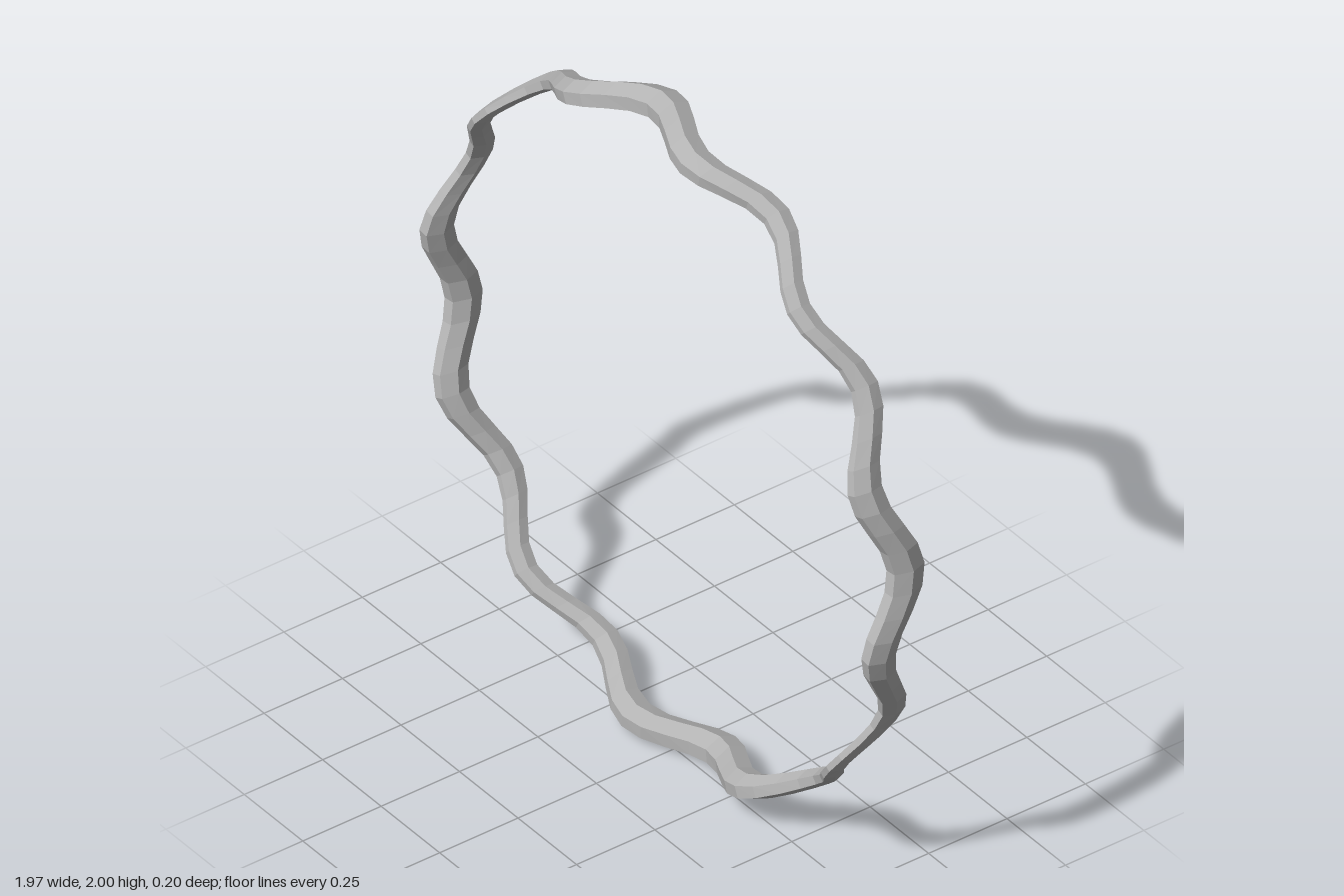
import * as THREE from 'three';

const SEGMENTS = 96; // eight steps per wave
const SIDES = 6;

// A point on the ring: turn runs clockwise from the top, side runs around the section
function ringPoint(i, j) {
  const turn = (i / SEGMENTS) * Math.PI * 2;
  const side = (j / SIDES) * Math.PI * 2;
  const lobe = Math.cos(4 * (turn + 0.13)); // four thick and four thin stretches
  const oval = Math.cos(2 * turn);
  const halfDepth = 0.028 + 0.01 * lobe + 0.002 * oval;
  const halfWidth = 0.046 + 0.009 * lobe;
  const wave = -0.043 * Math.cos(12 * (turn + 0.126)) - 0.012 * oval;
  const radius = 0.956 + 0.004 * oval + halfDepth * Math.cos(side);
  return [
    radius * Math.sin(turn),
    1 + radius * Math.cos(turn),
    wave + halfWidth * Math.sin(side),
  ];
}

export function createModel() {
  const group = new THREE.Group();
  group.name = 'wavyBangle';

  const metal = new THREE.MeshStandardMaterial({ color: 0xb4b4b4 });
  metal.name = 'grey metal';

  // Closed band of six-sided sections; separate corners keep the facets flat
  const corners = [];
  for (let i = 0; i < SEGMENTS; i++) {
    for (let j = 0; j < SIDES; j++) {
      const a = ringPoint(i, j);
      const b = ringPoint(i, j + 1);
      const c = ringPoint(i + 1, j + 1);
      const d = ringPoint(i + 1, j);
      corners.push(...a, ...b, ...c, ...a, ...c, ...d);
    }
  }
  const geometry = new THREE.BufferGeometry();
  geometry.setAttribute('position', new THREE.Float32BufferAttribute(corners, 3));
  geometry.computeVertexNormals();

  const band = new THREE.Mesh(geometry, metal);
  band.name = 'band';
  group.add(band);
  return group;
}
